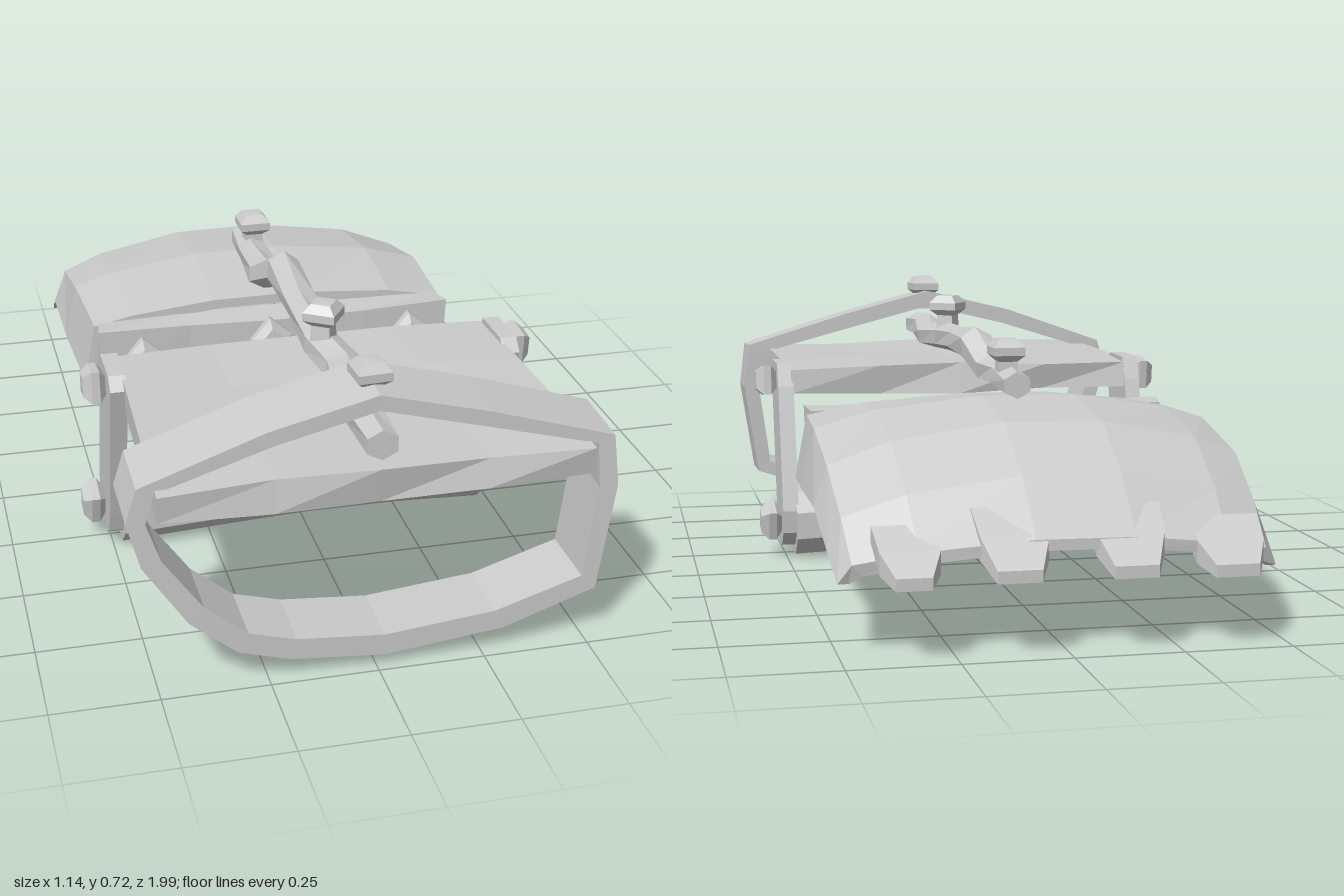
import * as THREE from 'three';

const mat = new THREE.MeshStandardMaterial({ color: 0xcccccc, flatShading: true });

export function createModel() {
  const model = new THREE.Group();

  const add = (name, geometry) => {
    const g = geometry.index ? geometry.toNonIndexed() : geometry;
    g.computeVertexNormals();
    const mesh = new THREE.Mesh(g, mat);
    mesh.name = name;
    model.add(mesh);
    return mesh;
  };

  // Skins a row of equal-length loops; ends are capped unless the row is a ring.
  const loft = (loops, ring = false) => {
    const n = loops[0].length, m = loops.length, idx = [];
    const quad = (a, b, c, d) => idx.push(a, b, c, a, c, d);
    for (let s = 0; s < (ring ? m : m - 1); s++) {
      const t = (s + 1) % m;
      for (let i = 0; i < n; i++) {
        const j = (i + 1) % n;
        quad(s * n + i, s * n + j, t * n + j, t * n + i);
      }
    }
    if (!ring) for (let i = 0; i < n / 2 - 1; i++) {
      const e = (m - 1) * n;
      quad(n - 1 - i, n - 2 - i, i + 1, i);
      quad(e + i, e + i + 1, e + n - 2 - i, e + n - 1 - i);
    }
    // Turn the faces outward if the enclosed volume comes out negative.
    const p = loops.flat().map(v => new THREE.Vector3(...v));
    let volume = 0;
    for (let i = 0; i < idx.length; i += 3) {
      volume += p[idx[i]].dot(p[idx[i + 1]].clone().cross(p[idx[i + 2]]));
    }
    if (volume < 0) idx.reverse();
    const g = new THREE.BufferGeometry().setFromPoints(p);
    g.setIndex(idx);
    return g;
  };

  // Rough-hewn board: a box whose corners shift by a repeatable amount.
  const board = (w, h, d, segs, amount) => {
    const g = new THREE.BoxGeometry(w, h, d, ...segs);
    const pos = g.attributes.position;
    for (let i = 0; i < pos.count; i++) {
      const v = new THREE.Vector3().fromBufferAttribute(pos, i);
      const k = v.x * 37 + v.y * 91 + v.z * 53;
      pos.setXYZ(i, v.x + amount * Math.sin(k), v.y + amount * 0.7 * Math.sin(k * 2.3), v.z + amount * Math.sin(k * 3.1));
    }
    return g;
  };

  // Square studded bolt, pointing along dir from its base.
  const boltProfile = [[0.036, -0.03], [0.032, 0.012], [0.056, 0.028], [0.056, 0.048], [0.034, 0.068], [0, 0.07]]
    .map(p => new THREE.Vector2(...p));
  const bolt = (name, base, dir, turn = 0.2) => {
    const b = add(name, new THREE.LatheGeometry(boltProfile, 4).rotateY(turn));
    b.position.set(...base);
    b.quaternion.setFromUnitVectors(new THREE.Vector3(0, 1, 0), new THREE.Vector3(...dir));
  };

  // Front hoop: outline x, y
  const hoopOutline = [
    [0, 0.69], [0.25, 0.625], [0.545, 0.535], [0.56, 0.41], [0.52, 0.15], [0.3, 0.075], [0.02, 0.045],
    [-0.2, 0.065], [-0.32, 0.1], [-0.43, 0.19], [-0.53, 0.34], [-0.56, 0.45], [-0.535, 0.53], [-0.25, 0.63],
  ];
  add('frontHoop', loft(hoopOutline.map(([x, y]) => {
    const dx = -x * 0.5, dy = 0.36 - y, k = 0.045 / Math.hypot(dx, dy);
    const ix = x + dx * k, iy = y + dy * k;
    const back = 0.81 - 0.03 * y, front = 0.98 - 0.03 * y;
    return [[x, y - 0.008, front], [x, y, back], [ix, iy, back], [ix, iy, front]];
  }), true));

  // Front deck, slightly narrower towards the back
  const deck = board(0.97, 0.075, 0.73, [4, 1, 3], 0.008);
  const dp = deck.attributes.position;
  for (let i = 0; i < dp.count; i++) dp.setX(i, dp.getX(i) * (0.985 + 0.06 * dp.getZ(i)));
  add('frontDeck', deck).position.set(0, 0.482, 0.627);

  // Lower crossbar: eight-sided, with a slight bow and skew
  add('lowerCrossbar', loft([[-0.475, 0, 0.01], [-0.2, 0.008, 0], [0.12, 0.02, -0.005], [0.475, 0.004, -0.005]]
    .map(([x, lift, shift]) => Array.from({ length: 8 }, (_, i) => {
      const a = (i + 0.5) * Math.PI / 4;
      return [x, 0.097 + lift + 0.093 * Math.sin(a), 0.245 + shift + 0.1 * Math.cos(a)];
    }))));

  // Side arms joining deck and crossbar, with their bolts
  const armOutline = [[0.44, 0.5], [0.41, 0.53], [0.28, 0.53], [0.255, 0.47], [0.165, 0.14], [0.17, 0.08],
    [0.21, 0.04], [0.28, 0.035], [0.32, 0.06], [0.335, 0.11]].map(p => new THREE.Vector2(...p));
  for (const side of [1, -1]) {
    const name = side > 0 ? 'left' : 'right';
    const arm = new THREE.ExtrudeGeometry(new THREE.Shape(armOutline), { depth: 0.042, bevelEnabled: false });
    add(name + 'Arm', arm.rotateY(-Math.PI / 2).translate(0.021, 0, 0)).position.x = side * 0.49;
    bolt(name + 'ArmUpperBolt', [side * 0.498, 0.48, 0.335], [side, 0, 0], 0.9);
    bolt(name + 'ArmLowerBolt', [side * 0.498, 0.105, 0.235], [side, 0, 0], 0.5);
  }

  // Board at the front of the rear shell, with three bolts
  add('rearBoard', board(0.94, 0.18, 0.08, [4, 1, 1], 0.007)).position.set(0, 0.36, -0.062);
  [[-0.36, 0.385], [-0.02, 0.41], [0.36, 0.39]].forEach(([x, y]) =>
    bolt('rearBoardBolt', [x, y, -0.03], [0, 0, 1], 0.1));

  // Domed rear shell: z, crown height, shoulder height, rim height, half width
  const stations = [
    [-0.1, 0.485, 0.43, 0.28, 0.505],
    [-0.38, 0.512, 0.43, 0.295, 0.52],
    [-0.64, 0.482, 0.375, 0.295, 0.52],
    [-0.82, 0.385, 0.285, 0.225, 0.51],
    [-0.95, 0.265, 0.205, 0.17, 0.5],
  ];
  const across = [-1, -0.94, -0.74, -0.3, 0.15, 0.66, 0.94, 1];
  add('rearShell', loft(stations.map(([z, crown, shoulder, rim, w], s) => {
    const row = (inset) => across.map((u, i) => {
      const a = Math.abs(u), edge = i === 0 || i === across.length - 1;
      const y = edge ? rim : THREE.MathUtils.lerp(crown, shoulder, a ** 2.5) - inset;
      return [u * (w - inset), y, z + 0.07 * a ** 4 * (s / 4) ** 2];
    });
    return [...row(0), ...row(0.025).reverse()];
  })));

  // Tapered teeth on the trailing edge of the shell
  for (const [x, half] of [[-0.37, 0.05], [-0.14, 0.05], [0.12, 0.05], [0.35, 0.04]]) {
    const slice = (z, y, w, t) => [[x - w, y + t, z], [x + w, y + t, z], [x + w, y - t, z], [x - w, y - t, z]];
    add('shellTooth', loft([
      slice(-0.87, 0.31 - 0.3 * x * x, half + 0.035, 0.02),
      slice(-0.94, 0.25 - 0.22 * x * x, half + 0.027, 0.026),
      slice(-0.995, 0.195 - 0.06 * x * x, half, 0.014),
    ]));
  }

  // Gnarled spine linking hoop, deck and shell: x, y, z, half width, half height
  const spine = [
    [0, 0.575, 0.985, 0.04, 0.036], [0, 0.578, 0.8, 0.047, 0.042], [0.022, 0.575, 0.58, 0.052, 0.036],
    [0, 0.582, 0.45, 0.047, 0.04], [0.008, 0.59, 0.22, 0.044, 0.038], [0.012, 0.597, 0, 0.046, 0.05],
    [-0.012, 0.545, -0.1, 0.05, 0.04], [-0.008, 0.542, -0.25, 0.042, 0.037], [-0.003, 0.538, -0.42, 0.037, 0.033],
  ];
  add('spine', loft(spine.map(([x, y, z, w, h], s) => Array.from({ length: 6 }, (_, i) => {
    const a = i * Math.PI / 3 + Math.PI / 6 + 0.15 * Math.sin(s * 2);
    return [x + w * Math.cos(a), y + h * Math.sin(a), z];
  }))));
  bolt('hoopBolt', [0, 0.662, 0.875], [0, 1, 0], 0.85);
  bolt('spineFrontBolt', [0, 0.63, 0.47], [0, 1, 0], 0.2);
  bolt('spineRearBolt', [0, 0.575, -0.31], [0, 1, 0], 0.8);

  return model;
}
